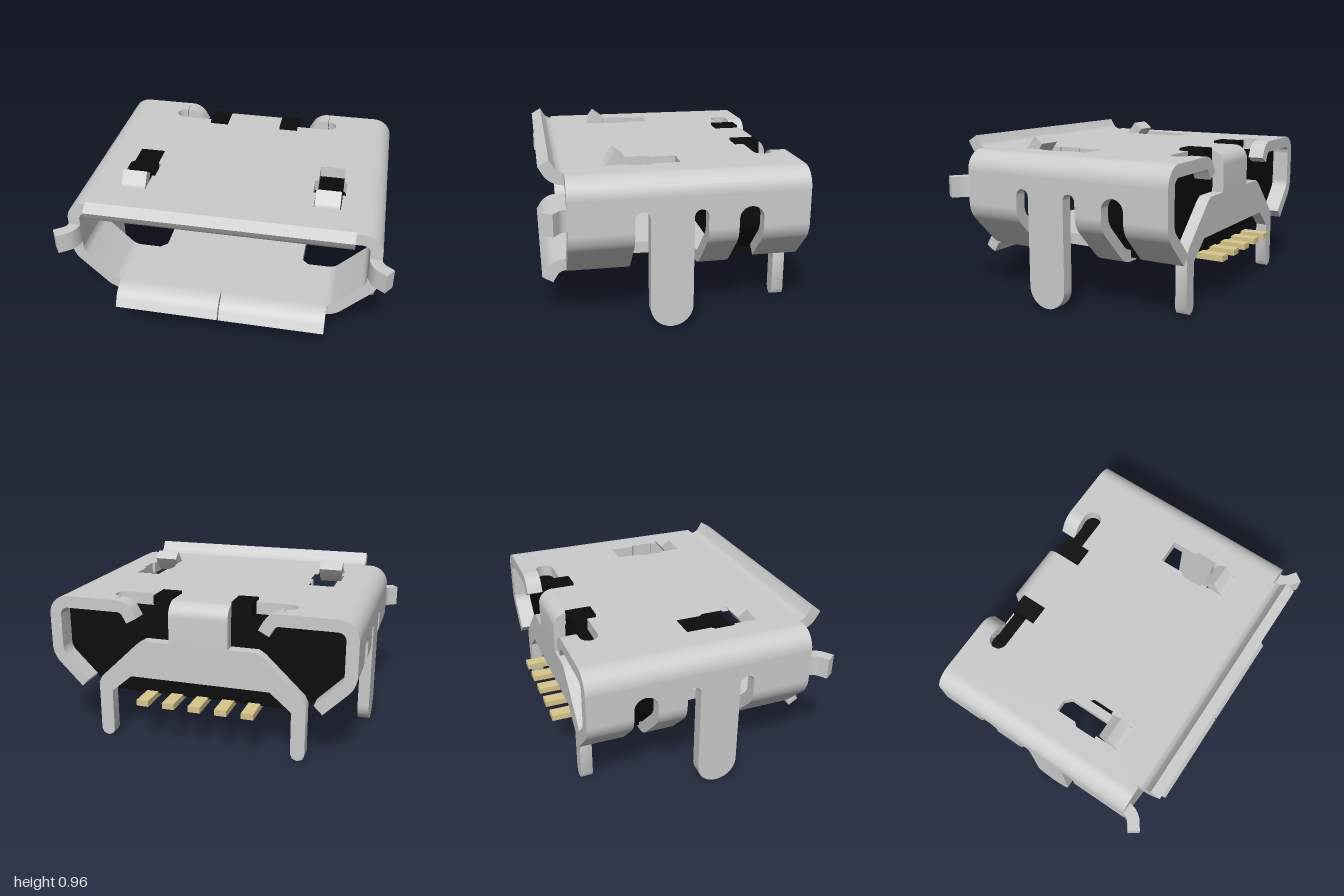
import * as THREE from 'three';
import { toCreasedNormals } from 'three/addons/utils/BufferGeometryUtils.js';

const T = 0.072; // sheet thickness
const metal = new THREE.MeshStandardMaterial({ color: 0xcccccc });
const black = new THREE.MeshStandardMaterial({ color: 0x0c0c0c });
const gold = new THREE.MeshStandardMaterial({ color: 0xd8c68c });

const poly = (pts) => new THREE.Shape(pts.map(([x, y]) => new THREE.Vector2(x, y)));
const flip = (pts, s) => pts.map(([x, y]) => [s * x, y]);
// closes a half outline (right side, top to bottom) with its mirror image
const symmetric = (half) => poly([...half, ...flip(half, -1).reverse()]);

// bent sheet: a centre line with rounded corners, thickened to both sides
function strip(pts, d = 0.05) {
  const p = pts.map(([x, y]) => new THREE.Vector2(x, y));
  const line = [p[0]];
  for (let i = 1; i < p.length - 1; i++) {
    const c = p[i];
    const toward = (q, r) => c.clone().add(q.clone().sub(c).setLength(r));
    const k = d * 0.45;
    const bend = new THREE.CubicBezierCurve(toward(p[i - 1], d), toward(p[i - 1], k), toward(p[i + 1], k), toward(p[i + 1], d));
    line.push(...bend.getPoints(8));
  }
  line.push(p[p.length - 1]);
  const left = [], right = [];
  line.forEach((q, i) => {
    const a = line[Math.max(i - 1, 0)], b = line[Math.min(i + 1, line.length - 1)];
    const t = b.clone().sub(a).normalize();
    left.push([q.x - t.y * T / 2, q.y + t.x * T / 2]);
    right.push([q.x + t.y * T / 2, q.y - t.x * T / 2]);
  });
  return poly([...left, ...right.reverse()]);
}

export function createModel() {
  const model = new THREE.Group();

  const add = (name, geometry, material = metal) => {
    const mesh = new THREE.Mesh(geometry, material);
    mesh.name = name;
    model.add(mesh);
    return mesh;
  };
  const extrude = (shape, depth) =>
    toCreasedNormals(new THREE.ExtrudeGeometry(shape, { depth, bevelEnabled: false, curveSegments: 14 }), 0.6);
  // shape in (x, y), (z, y) or (x, z), extruded along the remaining axis from a to b
  const alongZ = (name, shape, a, b, mat) => add(name, extrude(shape, b - a).translate(0, 0, a), mat);
  const alongX = (name, shape, a, b, mat) => add(name, extrude(shape, b - a).rotateY(-Math.PI / 2).translate(b, 0, 0), mat);
  const alongY = (name, shape, a, b, mat) => add(name, extrude(shape, b - a).rotateX(Math.PI / 2).translate(0, b, 0), mat);
  const box = (name, x0, x1, y0, y1, z0, z1, mat) =>
    add(name, new THREE.BoxGeometry(x1 - x0, y1 - y0, z1 - z0).translate((x0 + x1) / 2, (y0 + y1) / 2, (z0 + z1) / 2), mat);

  // top plate with rear slots and two spring windows
  const slotEnd = Array.from({ length: 9 }, (_, i) => {
    const a = -Math.PI / 2 + (i / 8) * Math.PI;
    return [0.505 + 0.055 * Math.cos(a), -0.565 + 0.055 * Math.sin(a)];
  });
  const top = symmetric([[0.81, 0.64], [0.81, -0.72], [0.5, -0.72], ...slotEnd,
    [0.3, -0.51], [0.3, -0.455], [0.18, -0.455], [0.18, -0.6]]);
  for (const s of [1, -1]) {
    top.holes.push(poly(flip([[0.51, -0.03], [0.665, -0.03], [0.665, 0.12], [0.685, 0.14], [0.685, 0.27],
      [0.667, 0.27], [0.667, 0.42], [0.508, 0.42], [0.508, 0.27], [0.49, 0.27], [0.49, 0.14], [0.51, 0.12]], s)));
  }
  alongY('topPlate', top, 0.817, 0.889);

  // side plate with three slots and the long rounded leg, in (z, y)
  const side = poly([[0.64, 0.77], [-0.72, 0.77], [-0.72, 0.57], [-0.45, 0.57]]);
  side.lineTo(-0.45, 0.62);
  side.absarc(-0.38, 0.62, 0.07, Math.PI, 0, true);
  side.lineTo(-0.31, 0.57);
  side.lineTo(-0.135, 0.57);
  side.absarc(-0.095, 0.6475, 0.04, Math.PI, 0, true);
  side.lineTo(-0.055, 0.1225);
  side.absarc(0.0675, 0.1225, 0.1225, Math.PI, Math.PI * 2, false);
  side.absarc(0.2325, 0.6475, 0.0425, Math.PI, 0, true);
  side.lineTo(0.275, 0.57);
  side.lineTo(0.64, 0.57);

  for (const s of [1, -1]) {
    const mirrored = (a, b) => (s > 0 ? [a, b] : [-b, -a]);
    alongX('sidePlate', side, ...mirrored(0.859, 0.931));
    alongZ('topCorner', strip(flip([[0.81, 0.853], [0.895, 0.853], [0.895, 0.77]], s), 0.082), -0.72, 0.64);
    // slanted lower walls between the slots
    const slant = strip(flip([[0.895, 0.57], [0.895, 0.525], [0.67, 0.3], [0.6, 0.3]], s), 0.044);
    alongZ('frontLowerWall', slant, 0.275, 0.64);
    alongZ('middleLowerWall', slant, -0.31, -0.135);
    alongZ('rearLowerWall', strip(flip([[0.895, 0.57], [0.895, 0.525], [0.72, 0.35]], s), 0.044), -0.72, -0.45);
    alongZ('rearLip', strip(flip([[0.5, 0.853], [0.445, 0.853], [0.4, 0.77]], s), 0.04), -0.72, -0.62);
    // flared guides at the mouth and top springs
    alongY('sideFlare', strip(flip([[0.895, 0.62], [0.895, 0.685], [0.98, 0.745]], s), 0.045), 0.605, 0.73);
    alongX('bottomFlare', strip([[0.64, 0.3], [0.695, 0.3], [0.748, 0.212]]), ...mirrored(0.004, 0.642));
    alongX('topSpring', strip([[0.45, 0.853], [0.385, 0.853], [0.317, 0.943]], 0.03), ...mirrored(0.513, 0.662));
  }
  alongX('topFlare', strip([[0.64, 0.853], [0.695, 0.853], [0.748, 0.943]]), -0.77, 0.77);

  // bottom plate with openings beside the legs
  alongY('bottomPlate', symmetric([[0.6, 0.64], [0.6, 0.275], [0.49, 0.275], [0.45, 0.235], [0.45, -0.095],
    [0.49, -0.135], [0.6, -0.135], [0.6, -0.31], [0.5, -0.31], [0.5, -0.38]]), 0.264, 0.336);

  // rear bracket: folded tab, spreading plate and two legs
  alongX('rearTab', strip([[-0.59, 0.853], [-0.652, 0.853], [-0.652, 0.6]]), -0.18, 0.18);
  alongZ('rearBracket', symmetric([[0.18, 0.64], [0.35, 0.64], [0.39, 0.615], [0.625, 0.39], [0.645, 0.35], [0.645, 0.04],
    [0.632, 0.012], [0.602, 0], [0.573, 0.012], [0.56, 0.04], [0.56, 0.3], [0.43, 0.41]]), -0.688, -0.616);

  // insulating body, base and top pegs
  alongZ('insulatorBody', symmetric([[0.82, 0.816], [0.858, 0.78], [0.858, 0.55], [0.835, 0.51], [0.68, 0.355], [0.63, 0.336]]),
    -0.614, -0.25, black);
  box('insulatorBase', -0.62, 0.62, 0.288, 0.4, -0.614, -0.31, black);
  for (const s of [1, -1]) {
    const x = s * 0.24;
    box('insulatorPeg', x - 0.06, x + 0.06, 0.8, 0.905, -0.61, -0.455, black);
  }

  // tongue with ribs between the contacts
  box('tongue', -0.41, 0.41, 0.65, 0.74, -0.26, 0.38, black);
  const pitch = 0.162;
  for (let i = 0; i < 6; i++) {
    const x = (i - 2.5) * pitch;
    box('tongueRib', x - 0.041, x + 0.041, 0.59, 0.651, -0.26, 0.38, black);
  }

  // contacts inside the mouth and solder tails at the rear
  for (let i = -2; i <= 2; i++) {
    const x = i * pitch;
    box('contact', x - 0.036, x + 0.036, 0.608, 0.652, -0.26, 0.35, gold);
    alongX('solderTail', poly([[-0.775, 0.264], [-0.775, 0.3], [-0.5, 0.3], [-0.505, 0.285], [-0.525, 0.27], [-0.56, 0.264]]),
      x - 0.037, x + 0.037, gold);
  }
  return model;
}
